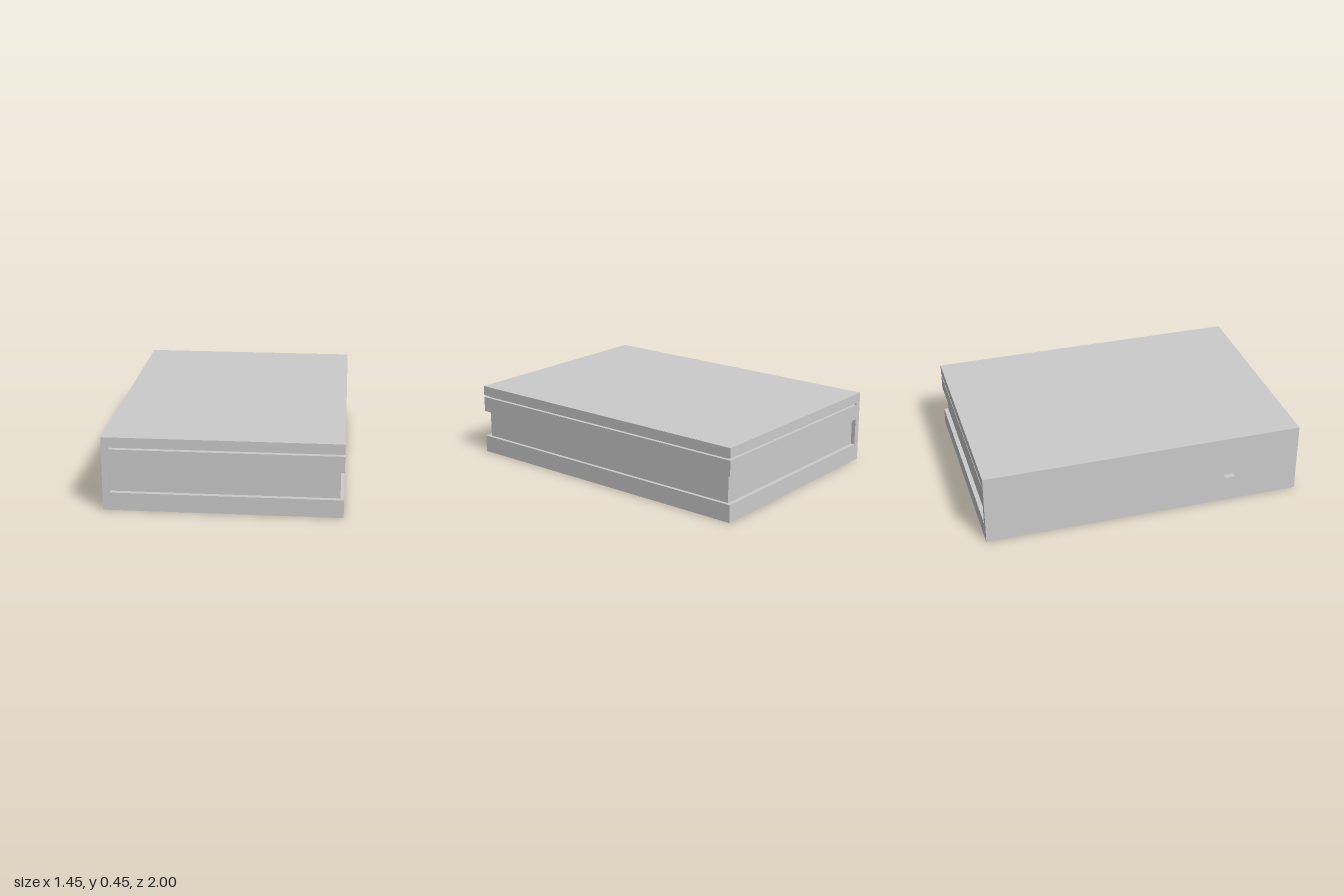
import * as THREE from 'three';

const material = new THREE.MeshStandardMaterial({ color: 0xcccccc, flatShading: true });

function addMesh(group, name, geometry, mat = material) {
  const mesh = new THREE.Mesh(geometry, mat);
  mesh.name = name;
  group.add(mesh);
  return mesh;
}

export function createModel() {
  const group = new THREE.Group();
  group.name = 'case';

  const left = -0.692, right = 0.72, height = 0.45, spine = -0.65;
  const gaps = [[0.109, 0.279], [0.376, 0.388]]; // wide recess and thin slot

  // Spine with three shelves, extruded from front to back
  const points = [[left, 0], [right, 0]];
  for (const [y0, y1] of gaps) points.push([right, y0], [spine, y0], [spine, y1], [right, y1]);
  points.push([right, height], [left, height]);
  const profile = new THREE.Shape(points.map(([x, y]) => new THREE.Vector2(x, y)));
  const shell = new THREE.ExtrudeGeometry(profile, { depth: 2, bevelEnabled: false });
  shell.translate(0, 0, -1);
  addMesh(group, 'shell', shell);

  // Inset cores filling each gap
  const coreRight = 0.699, coreFront = 0.968, coreBack = -0.973;
  gaps.forEach(([y0, y1], i) => {
    const core = new THREE.BoxGeometry(coreRight - spine, y1 - y0, coreFront - coreBack);
    addMesh(group, ['recessCore', 'slotCore'][i], core)
      .position.set((coreRight + spine) / 2, (y0 + y1) / 2, (coreFront + coreBack) / 2);
  });

  // Flat tab sticking out of the closed side
  const tabMaterial = material.clone();
  tabMaterial.side = THREE.DoubleSide;
  const tab = new THREE.PlaneGeometry(0.034, 0.065).rotateX(-Math.PI / 2);
  addMesh(group, 'sideTab', tab, tabMaterial).position.set(left - 0.017, 0.19, 0.542);

  return group;
}
